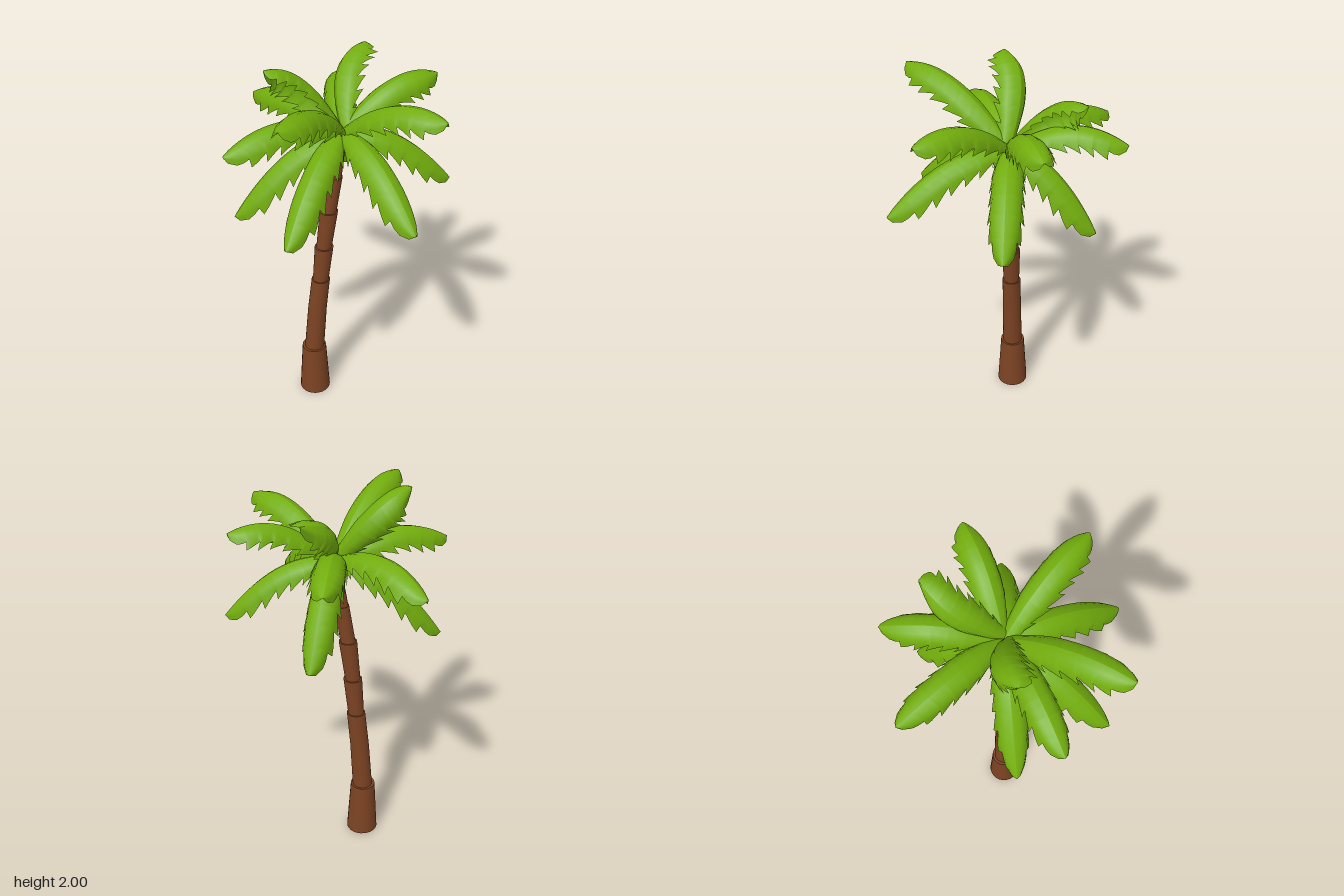
import * as THREE from 'three';

const bark = new THREE.MeshStandardMaterial({ color: 0x7c4323, side: THREE.DoubleSide });
bark.name = 'bark brown';
const leaf = new THREE.MeshStandardMaterial({ color: 0x72ad0d, side: THREE.DoubleSide });
leaf.name = 'leaf green';

// Trunk sections: bottom y, x, radius, then top y, x, radius
const SECTIONS = [
  [0, -0.163, 0.085, 0.295, -0.163, 0.067],
  [0.295, -0.163, 0.067, 0.305, -0.163, 0.066],
  [0.3, -0.161, 0.054, 0.57, -0.141, 0.051],
  [0.57, -0.141, 0.051, 0.775, -0.119, 0.049],
  [0.765, -0.12, 0.042, 0.985, -0.099, 0.049],
  [0.975, -0.1, 0.04, 1.205, -0.072, 0.047],
  [1.195, -0.073, 0.039, 1.405, -0.039, 0.037],
  [1.395, -0.041, 0.033, 1.66, -0.002, 0.024],
];

// Frond tips (x, y, z) and sideways roll of the frond
const TIPS = [
  [-0.01, 1.71, -0.56, -0.15], [0.11, 1.95, -0.37, -0.8], [-0.455, 1.66, -0.435, -0.2],
  [-0.36, 1.995, 0.08, 0.7], [-0.54, 1.235, 0.10, 0], [-0.545, 1.68, 0.30, 0],
  [-0.28, 1.935, 0.56, 0], [0.31, 1.40, 0.54, 0], [0.445, 1.86, 0.35, 0],
  [0.465, 1.85, -0.22, 0.15], [0.54, 1.355, -0.055, 0], [-0.27, 1.315, 0.52, 0],
  [0.07, 1.255, -0.44, 0],
];
const CROWN = new THREE.Vector3(-0.005, 1.66, 0);
const UP = new THREE.Vector3(0, 1, 0);

// Leaning trunk section: an upright cylinder sheared sideways; the base is hollow
function trunkSection([y0, x0, r0, y1, x1, r1]) {
  const h = y1 - y0;
  const g = new THREE.CylinderGeometry(r1, r0, h, 24, 1, y0 === 0);
  const shear = new THREE.Matrix4().set(
    1, (x1 - x0) / h, 0, (x0 + x1) / 2,
    0, 1, 0, (y0 + y1) / 2,
    0, 0, 1, 0.01,
    0, 0, 0, 1);
  g.applyMatrix4(shear);
  const mesh = new THREE.Mesh(g, bark);
  mesh.name = 'trunkSection';
  return mesh;
}

// Half-width of a frond along its length: quick flare, rounded tip
function halfWidth(t) {
  const flare = 0.6 + 0.4 * THREE.MathUtils.smoothstep(t, 0, 0.35);
  const tip = t < 0.68 ? 1 : Math.sqrt(Math.max(0, 1 - ((t - 0.68) / 0.32) ** 2));
  return 0.09 * flare * tip;
}

// One drooping half of a frond, from the midrib out to a saw-toothed edge
function bladeGeometry(curve, side, across, roll) {
  const teeth = 7, rows = [];
  for (let k = 0; k < teeth; k++) {
    for (const f of [0, 0.3, 0.6, 0.92]) rows.push([(k + f) / teeth, f]);
  }
  rows.push([1, 0]);

  const pos = [], index = [];
  const cols = 5;
  rows.forEach(([t, f]) => {
    const p = curve.getPoint(t), tan = curve.getTangent(t);
    const outward = across.clone().applyAxisAngle(tan, roll);
    const normal = new THREE.Vector3().crossVectors(outward, tan).normalize();
    const w = halfWidth(t);
    const tooth = t < 0.12 ? 0 : f;
    // out, drop and forward sweep of each column
    const section = [
      [0, 0, 0], [0.4, 0.1, 0], [0.68, 0.36, 0], [0.78 + 0.05 * tooth, 0.66, 0.05],
      [0.78 + 0.2 * tooth, 0.78 + 0.44 * tooth, 0.1 + 0.25 * tooth],
    ];
    for (const [out, drop, sweep] of section) {
      const q = p.clone()
        .addScaledVector(outward, side * out * w)
        .addScaledVector(normal, -drop * w)
        .addScaledVector(tan, sweep * w);
      pos.push(q.x, q.y, q.z);
    }
  });
  for (let i = 0; i < rows.length - 1; i++) {
    for (let j = 0; j < cols - 1; j++) {
      const a = i * cols + j, b = a + 1, c = a + cols, d = c + 1;
      if (side > 0) index.push(a, b, c, b, d, c);
      else index.push(a, c, b, b, c, d);
    }
  }
  const g = new THREE.BufferGeometry();
  g.setAttribute('position', new THREE.Float32BufferAttribute(pos, 3));
  g.setIndex(index);
  g.computeVertexNormals();
  return g;
}

// Arched frond made of two mirrored blades; a rolled frond also bows sideways
function frond([x, y, z, roll]) {
  const tip = new THREE.Vector3(x, y, z);
  const dir = tip.clone().sub(CROWN).setY(0).normalize();
  const across = new THREE.Vector3().crossVectors(dir, UP);
  const control = CROWN.clone().lerp(tip, 0.5)
    .addScaledVector(UP, 0.2 * Math.cos(roll))
    .addScaledVector(across, 0.2 * Math.sin(roll));
  const curve = new THREE.QuadraticBezierCurve3(CROWN, control, tip);
  const group = new THREE.Group();
  group.name = 'frond';
  for (const side of [1, -1]) {
    // positive roll lowers the +across side
    const blade = new THREE.Mesh(bladeGeometry(curve, side, across, roll), leaf);
    blade.name = side > 0 ? 'rightBlade' : 'leftBlade';
    group.add(blade);
  }
  return group;
}

export function createModel() {
  const model = new THREE.Group();
  model.name = 'palmTree';

  const trunk = new THREE.Group();
  trunk.name = 'trunk';
  SECTIONS.forEach((s) => trunk.add(trunkSection(s)));

  const crown = new THREE.Group();
  crown.name = 'crown';
  TIPS.forEach((t) => crown.add(frond(t)));

  model.add(trunk, crown);
  return model;
}
